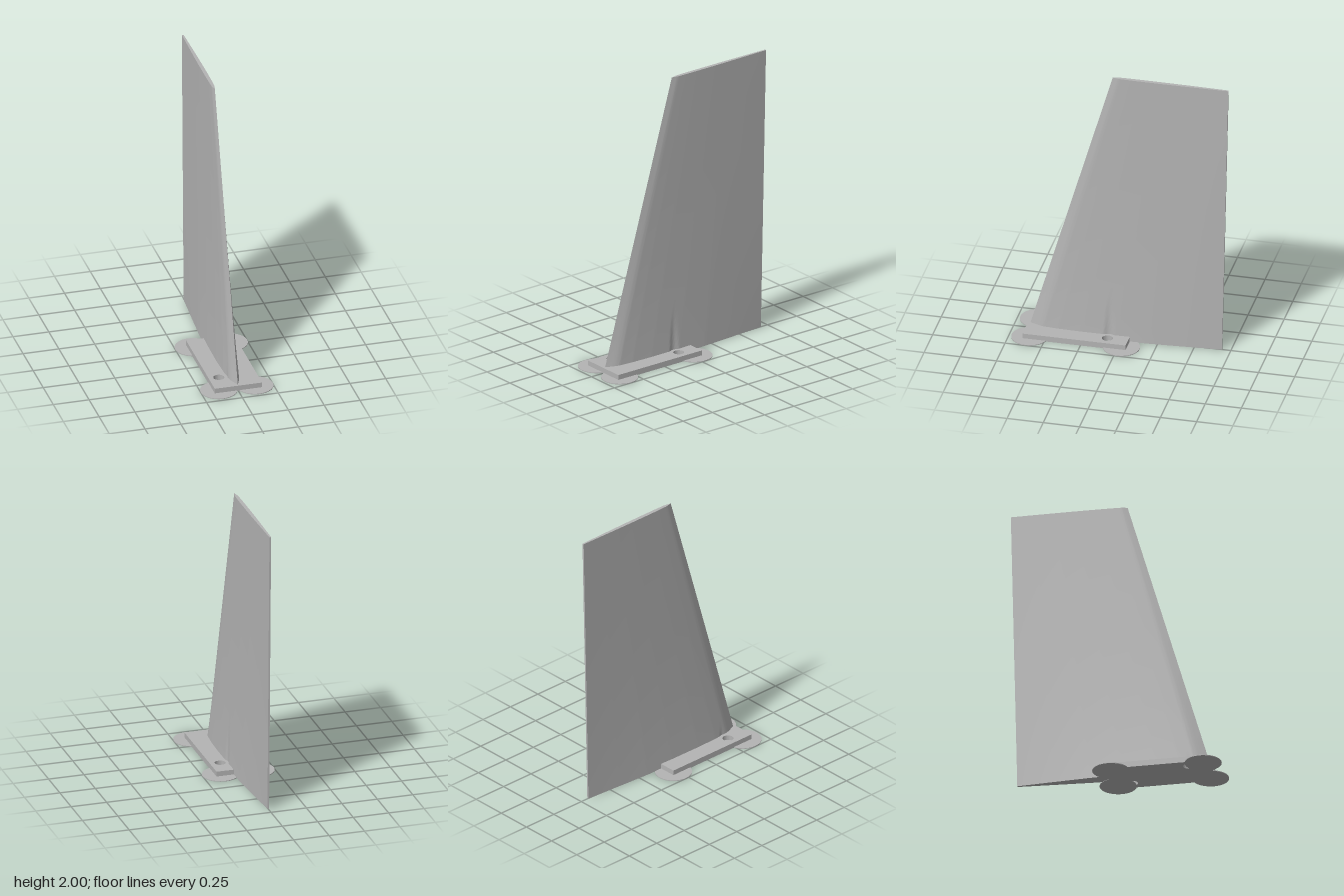
import * as THREE from 'three';
import { toCreasedNormals } from 'three/addons/utils/BufferGeometryUtils.js';

// Screw holes in the base; the fin is relieved around each one
const HOLES = [{ x: 0.095, z: 0.08 }, { x: -0.095, z: 0.5 }];
const HOLE_R = 0.037, RELIEF_R = 0.06;

// Relative half thickness along the chord, nose to tail
const PROFILE = [[0, 0], [0.035, 0.38], [0.07, 0.7], [0.15, 0.9], [0.27, 1],
  [0.45, 0.95], [0.62, 0.77], [0.8, 0.42], [1, 0]];

function profileAt(t) {
  let i = 1;
  while (i < PROFILE.length - 1 && t > PROFILE[i][0]) i++;
  const [t0, v0] = PROFILE[i - 1], [t1, v1] = PROFILE[i];
  return v0 + (v1 - v0) * (t - t0) / (t1 - t0);
}

// Half thickness at a point of the fin, cut back by the screw relief on that side
function halfWidth(side, t, y, z) {
  const tail = 0.006 * Math.min(1, t / 0.05);
  const thickest = 0.01 + 0.04 * Math.exp(-y / 0.75);
  let w = tail + (thickest - 0.006) * profileAt(t);
  for (const h of HOLES) {
    const dz = z - h.z;
    if (Math.sign(h.x) === side && Math.abs(dz) < RELIEF_R) {
      w = Math.min(w, Math.abs(h.x) - Math.sqrt(RELIEF_R ** 2 - dz * dz));
    }
  }
  return w;
}

// Swept, tapering blade lofted from closed chord sections
function finGeometry() {
  const n = 160, rows = 30, ring = 2 * n + 1, y0 = 0.002;
  const pos = [], idx = [];
  for (let r = 0; r <= rows; r++) {
    const y = y0 + (2 - y0) * Math.pow(r / rows, 1.6);
    const nose = 0.645 - 0.29 * y, tail = -0.69 - 0.022 * y;
    for (let j = 0; j < ring; j++) {
      const side = j <= n ? 1 : -1;
      const t = (j <= n ? j : ring - j) / n;
      const z = nose + (tail - nose) * t;
      pos.push(side * halfWidth(side, t, y, z), y, z);
    }
  }
  for (let r = 0; r < rows; r++) {
    for (let j = 0; j < ring; j++) {
      const a = r * ring + j, b = r * ring + (j + 1) % ring;
      idx.push(a, b, b + ring, a, b + ring, a + ring);
    }
  }
  // End caps
  const top = rows * ring;
  for (let j = 0; j < n; j++) {
    const l0 = j === 0 ? 0 : ring - j, l1 = ring - j - 1;
    idx.push(top + j, top + j + 1, top + l1);
    idx.push(j, l1, j + 1);
    if (j > 0) {
      idx.push(top + j, top + l1, top + l0);
      idx.push(j, l0, l1);
    }
  }
  const g = new THREE.BufferGeometry();
  g.setAttribute('position', new THREE.Float32BufferAttribute(pos, 3));
  g.setIndex(idx);
  return toCreasedNormals(g, 0.5);
}

// Flat plate with two round screw holes
function plateGeometry() {
  const w = 0.165, z0 = -0.062, z1 = 0.65;
  const s = new THREE.Shape([
    new THREE.Vector2(-w, -z1), new THREE.Vector2(w, -z1),
    new THREE.Vector2(w, -z0), new THREE.Vector2(-w, -z0),
  ]);
  for (const h of HOLES) {
    s.holes.push(new THREE.Path().absarc(h.x, -h.z, HOLE_R, 0, Math.PI * 2, true));
  }
  const g = new THREE.ExtrudeGeometry(s, { depth: 0.04, bevelEnabled: false, curveSegments: 32 });
  g.rotateX(-Math.PI / 2);
  return toCreasedNormals(g, 0.5);
}

export function createModel() {
  const group = new THREE.Group();
  const grey = new THREE.MeshStandardMaterial({ color: 0xb4b4b4 });
  grey.name = 'grey plastic';

  const add = (name, geometry) => {
    const mesh = new THREE.Mesh(geometry, grey);
    mesh.name = name;
    group.add(mesh);
    return mesh;
  };

  add('fin', finGeometry());
  add('basePlate', plateGeometry());

  // Thin round pads under the plate corners
  const pad = new THREE.CylinderGeometry(0.125, 0.125, 0.005, 64);
  for (const x of [-0.126, 0.126]) {
    for (const z of [-0.025, 0.608]) {
      add('cornerPad', pad).position.set(x, 0.0025, z);
    }
  }
  return group;
}
